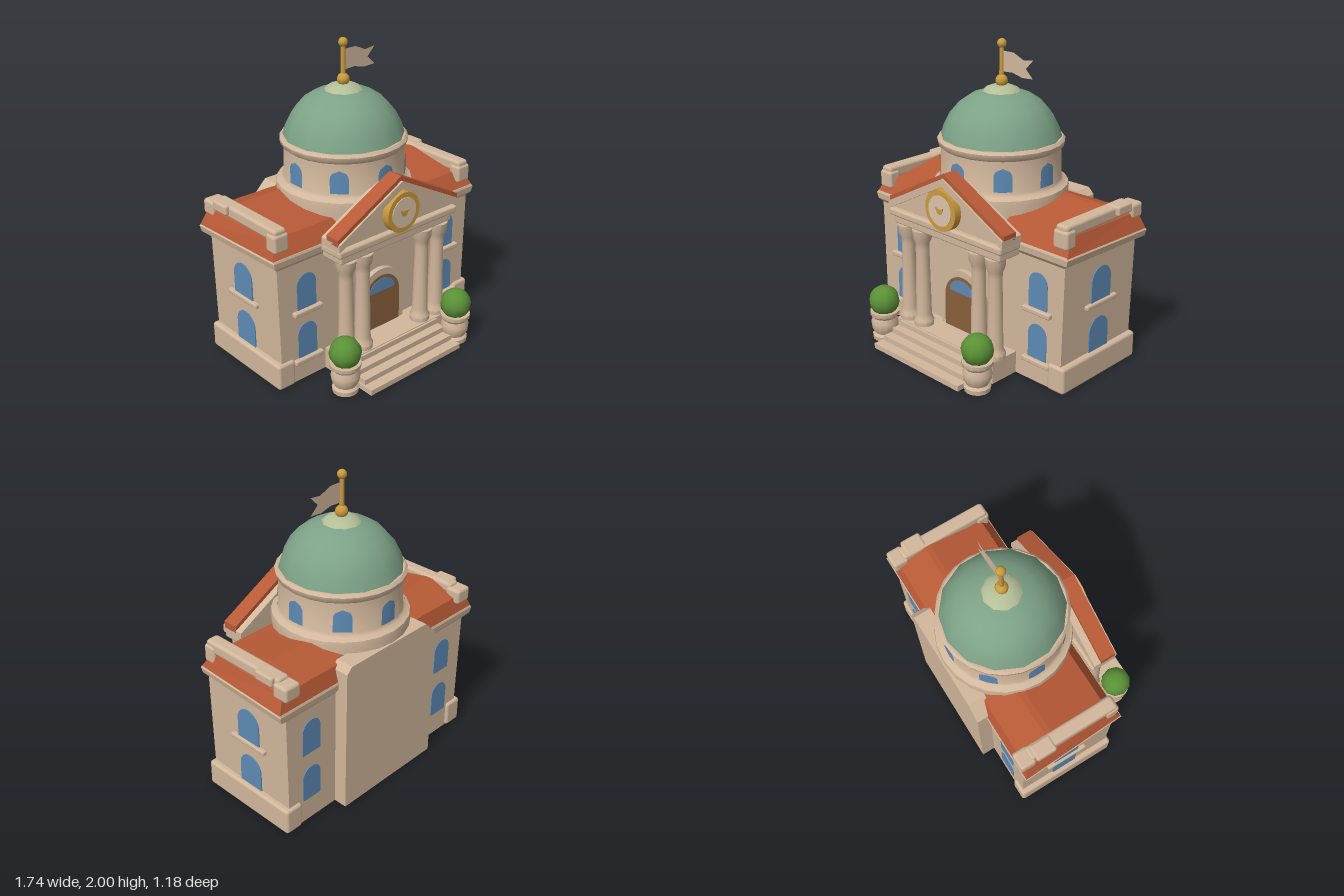
import * as THREE from 'three';
import { toCreasedNormals } from 'three/addons/utils/BufferGeometryUtils.js';
import { RoundedBoxGeometry } from 'three/addons/geometries/RoundedBoxGeometry.js';

const material = (name, color, extra = {}) => {
  const m = new THREE.MeshStandardMaterial({ color, ...extra });
  m.name = name;
  return m;
};

export function createModel() {
  const stone = material('stone', 0xd2b79c);
  const cloth = material('flag cloth', 0xd2b79c, { side: THREE.DoubleSide });
  const tile = material('roof tile', 0xb85a36);
  const copper = material('dome copper', 0x7da287);
  const paleCopper = material('pale copper', 0xb5bf98);
  const glass = material('glass', 0x5d8bb5);
  const wood = material('door wood', 0x8a5f3c);
  const gold = material('gold', 0xcb9a3e);
  const leaf = material('leaf', 0x5a9136);
  const cream = material('clock cream', 0xdcc5aa);

  const model = new THREE.Group();
  model.name = 'domedHall';

  const add = (name, geo, mat, x = 0, y = 0, z = 0, ry = 0, parent = model) => {
    const mesh = new THREE.Mesh(geo, mat);
    mesh.name = name;
    mesh.position.set(x, y, z);
    mesh.rotation.y = ry;
    parent.add(mesh);
    return mesh;
  };
  // Box given by its limits, with softly rounded edges when r > 0
  const block = (name, x0, x1, y0, y1, z0, z1, r = 0, mat = stone) => {
    const s = [x1 - x0, y1 - y0, z1 - z0];
    const geo = r ? new RoundedBoxGeometry(...s, 2, r) : new THREE.BoxGeometry(...s);
    return add(name, geo, mat, (x0 + x1) / 2, (y0 + y1) / 2, (z0 + z1) / 2);
  };
  const lathe = (pts, sides) => toCreasedNormals(
    new THREE.LatheGeometry(pts.map(p => new THREE.Vector2(...p)), sides), 0.75);
  const extrude = (shape, depth) => toCreasedNormals(
    new THREE.ExtrudeGeometry(shape, { depth, bevelEnabled: false, curveSegments: 8 }), 0.6);
  const polygon = pts => new THREE.Shape(pts.map(p => new THREE.Vector2(...p)));
  // Round-headed panel standing on y = 0
  const arch = (w, h) => {
    const s = new THREE.Shape();
    s.moveTo(-w / 2, 0);
    s.lineTo(w / 2, 0);
    s.lineTo(w / 2, h - w / 2);
    s.absarc(0, h - w / 2, w / 2, 0, Math.PI);
    return s;
  };
  // Stacked four-sided rings: [y, half width front, half width back, z front, z back]
  const loft = rings => {
    const c = rings.map(([y, f, b, zf, zb]) => [[-f, y, zf], [f, y, zf], [b, y, zb], [-b, y, zb]]);
    const p = [];
    const quad = (a, b, d, e) => p.push(...a, ...b, ...d, ...a, ...d, ...e);
    for (let i = 0; i + 1 < c.length; i++)
      for (let j = 0; j < 4; j++) {
        const k = (j + 1) % 4;
        quad(c[i][j], c[i][k], c[i + 1][k], c[i + 1][j]);
      }
    quad(...c[c.length - 1]);
    quad(...[...c[0]].reverse());
    const geo = new THREE.BufferGeometry();
    geo.setAttribute('position', new THREE.Float32BufferAttribute(p, 3));
    geo.computeVertexNormals();
    return geo;
  };

  // Main building, cornice and roof
  add('walls', loft([[0, 0.79, 0.79, 0.17, -0.5], [0.85, 0.805, 0.805, 0.17, -0.5]]), stone);
  add('cornice', loft([[0.82, 0.8, 0.81, 0.17, -0.5], [0.845, 0.83, 0.86, 0.19, -0.52],
    [0.885, 0.84, 0.87, 0.195, -0.525], [0.9, 0.83, 0.86, 0.19, -0.52]]), stone);
  add('roof', loft([[0.895, 0.835, 0.865, 0.19, -0.52], [1.0, 0.8, 0.82, 0.12, -0.49],
    [1.07, 0.72, 0.72, -0.26, -0.3]]), tile);
  add('backBlock', extrude(polygon([[-0.41, 0], [0.4, 0], [0.4, 0.98], [0.36, 1.02],
    [-0.31, 1.02], [-0.41, 0.92]]), 0.12), stone, 0, 0, -0.59);

  // Plinths and roof parapets on both ends
  for (const s of [-1, 1]) {
    const side = (name, a, b, ...rest) => block(name, Math.min(s * a, s * b), Math.max(s * a, s * b), ...rest);
    side('plinth', 0.7, 0.83, 0, 0.175, -0.52, 0.19, 0.02);
    side('parapet', 0.72, 0.81, 1.0, 1.08, -0.45, 0.17, 0.02);
    side('parapetFrontBlock', 0.71, 0.82, 0.93, 1.05, 0.09, 0.18, 0.02);
    side('parapetMiddleBlock', 0.73, 0.835, 1.02, 1.085, -0.42, -0.28, 0.015);
    side('parapetBackBlock', 0.71, 0.83, 0.96, 1.06, -0.53, -0.42, 0.02);
  }

  // Windows and sills
  const pane = extrude(arch(0.145, 0.235), 0.008);
  const sidePane = extrude(arch(0.18, 0.235), 0.008);
  for (const s of [-1, 1])
    for (const y of [0.16, 0.5]) {
      const x = s < 0 ? -0.59 : 0.605;
      const wallX = 0.79 + 0.0176 * (y + 0.1);
      add('frontWindow', pane, glass, x, y, 0.167);
      add('backWindow', pane, glass, s * 0.605, y, -0.497, Math.PI);
      add('sideWindow', sidePane, glass, s * wallX, y, -0.175, s * Math.PI / 2);
      block('frontSill', x - 0.11, x + 0.11, y - 0.035, y, 0.15, 0.2, 0.01);
      block('sideSill', s * 0.805 - 0.02, s * 0.805 + 0.02, y - 0.02, y + 0.012, -0.32, -0.03, 0.01);
    }

  // Doorway
  add('doorSurround', extrude(arch(0.39, 0.42), 0.04), stone, -0.005, 0.14, 0.165);
  add('door', extrude(arch(0.31, 0.375), 0.008), wood, -0.005, 0.14, 0.203);
  const fan = new THREE.Shape();
  fan.moveTo(-0.11, 0);
  fan.lineTo(0.11, 0);
  fan.absellipse(0, 0, 0.11, 0.09, 0, Math.PI);
  add('fanlight', extrude(fan, 0.004), glass, -0.005, 0.405, 0.21);

  // Steps and porch floor
  block('porchFloor', -0.45, 0.43, 0, 0.145, 0.16, 0.38);
  [0.59, 0.52, 0.455, 0.395].forEach((z, i) =>
    block('step', -0.44 + 0.012 * i, 0.34 - 0.004 * i, 0, 0.035 * (i + 1), 0.3, z));

  // Columns
  const column = lathe([[0, 0], [0.065, 0], [0.068, 0.03], [0.055, 0.055], [0.052, 0.08], [0.044, 0.54],
    [0.048, 0.58], [0.062, 0.61], [0.066, 0.665], [0, 0.665]], 12);
  for (const x of [-0.395, -0.26, 0.245, 0.385]) add('column', column, stone, x, 0.145, 0.31);

  // Entablature and pediment
  const chevron = (w, eave, apex, t) => polygon([[-w, eave], [-w, eave - t], [0, apex - t],
    [w, eave - t], [w, eave], [0, apex]]);
  block('entablature', -0.47, 0.46, 0.81, 0.88, 0.18, 0.355, 0.01);
  block('pedimentLedge', -0.5, 0.49, 0.865, 0.915, 0.2, 0.38, 0.015);
  add('tympanum', extrude(polygon([[-0.48, 0.9], [0.48, 0.9], [0.48, 0.95], [0, 1.2], [-0.48, 0.95]]), 0.125),
    stone, 0, 0, 0.22);
  add('rakingCornice', extrude(chevron(0.5, 0.96, 1.225, 0.05), 0.165), stone, 0, 0, 0.213);
  add('pedimentRoof', extrude(chevron(0.5, 0.99, 1.255, 0.045), 0.105), tile, 0, 0, 0.26);

  // Clock
  const disc = (name, r, z0, z1, mat) => {
    add(name, new THREE.CylinderGeometry(r, r, z1 - z0, 24), mat, 0, 1.025, (z0 + z1) / 2).rotation.x = Math.PI / 2;
  };
  disc('clockRim', 0.132, 0.33, 0.395, gold);
  disc('clockFace', 0.098, 0.39, 0.4, cream);
  const mark = new THREE.Shape();
  mark.moveTo(-0.035, 0.02);
  mark.quadraticCurveTo(0, -0.005, 0.035, 0.02);
  mark.quadraticCurveTo(0.025, -0.025, 0, -0.03);
  mark.quadraticCurveTo(-0.025, -0.025, -0.035, 0.02);
  add('clockMark', extrude(mark, 0.004), gold, 0, 1.03, 0.4);

  // Drum, dome and finial
  const tower = new THREE.Group();
  tower.name = 'domeTower';
  tower.position.set(-0.008, 0, -0.15);
  model.add(tower);
  const turn = (name, pts, sides, mat) => add(name, lathe(pts, sides), mat, 0, 0, 0, 0, tower);
  turn('drum', [[0, 0.88], [0.42, 0.88], [0.435, 1.06], [0.43, 1.095], [0.395, 1.11], [0.385, 1.13], [0.382, 1.33],
    [0.4, 1.345], [0.405, 1.375], [0.39, 1.392], [0, 1.392]], 24, stone);
  turn('dome', [[0.385, 1.385], [0.365, 1.45], [0.325, 1.53], [0.265, 1.6], [0.19, 1.65], [0.1, 1.68], [0, 1.685]],
    14, copper);
  turn('domeCap', [[0.12, 1.64], [0.12, 1.675], [0.1, 1.695], [0.06, 1.71], [0, 1.715]], 10, paleCopper);
  add('finialPole', new THREE.CylinderGeometry(0.014, 0.016, 0.26, 10), gold, 0, 1.83, 0, 0, tower);
  add('finialBase', new THREE.SphereGeometry(0.04, 12, 8), gold, 0, 1.738, 0, 0, tower);
  add('finialBall', new THREE.SphereGeometry(0.03, 12, 8), gold, 0, 1.97, 0, 0, tower);

  // Drum windows, bent to the wall
  const drumPane = new THREE.PlaneGeometry(0.115, 0.15, 6, 8);
  const dp = drumPane.attributes.position;
  for (let i = 0; i < dp.count; i++) {
    const y = dp.getY(i) + 0.075;
    const k = y > 0.0925 ? Math.sqrt(Math.max(0, 1 - ((y - 0.0925) / 0.0575) ** 2)) : 1;
    const x = dp.getX(i) * k;
    dp.setXYZ(i, 0.39 * Math.sin(x / 0.39), y, 0.39 * Math.cos(x / 0.39));
  }
  drumPane.computeVertexNormals();
  for (let i = 0; i < 8; i++) add('drumWindow', drumPane, glass, 0, 1.14, 0, i * Math.PI / 4, tower);

  // Flag
  const flag = polygon([[0, 1.795], [0.09, 1.8], [0.17, 1.78], [0.258, 1.785], [0.2, 1.84], [0.258, 1.9],
    [0.18, 1.89], [0.1, 1.925], [0, 1.925]]);
  add('flag', new THREE.ShapeGeometry(flag), cloth, 0, 0, 0, 0, tower);

  // Potted shrubs
  const pot = lathe([[0, 0], [0.082, 0], [0.085, 0.03], [0.07, 0.045], [0.088, 0.08], [0.092, 0.12],
    [0.08, 0.155], [0.098, 0.175], [0.098, 0.2], [0, 0.2]], 14);
  for (const [x, z] of [[-0.512, 0.435], [0.403, 0.483]]) {
    add('planter', pot, stone, x, 0, z);
    add('shrub', new THREE.SphereGeometry(0.102, 10, 8), leaf, x, 0.27, z);
  }
  return model;
}
